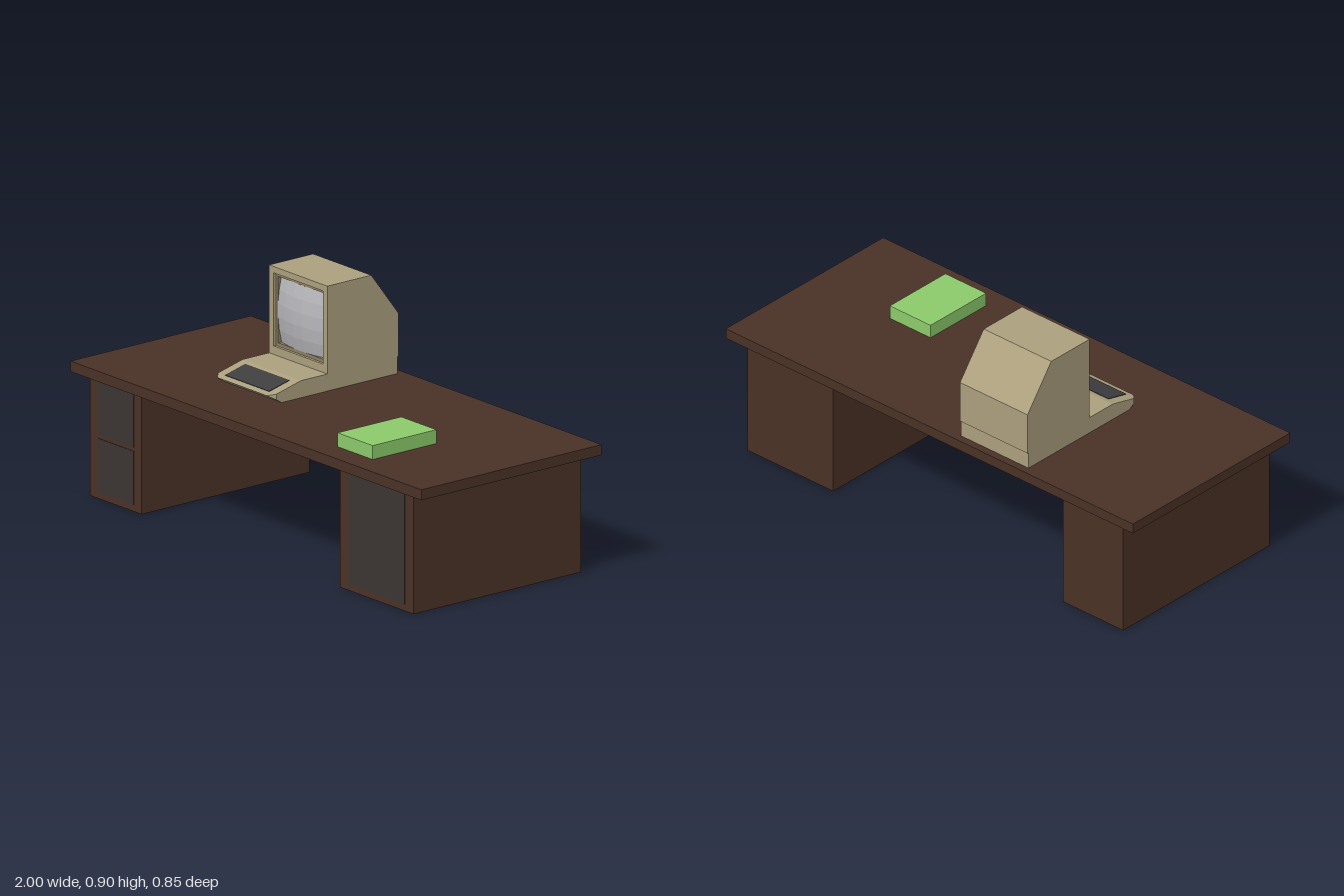
import * as THREE from 'three';

const mat = (color) => new THREE.MeshStandardMaterial({ color, flatShading: true });

export function createModel() {
  const root = new THREE.Group();
  const wood = mat(0x4a3226), panel = mat(0x3c3632), beige = mat(0xaca07e);
  const darkBeige = mat(0x8c8163), keys = mat(0x3e3e40), glass = mat(0xb8b8bc), green = mat(0x8ccb6c);

  const add = (name, geo, material, parent = root) => {
    const m = new THREE.Mesh(geo, material);
    m.name = name;
    parent.add(m);
    return m;
  };
  // Box given by its limits on each axis
  const box = (name, x0, x1, y0, y1, z0, z1, material, parent) =>
    add(name, new THREE.BoxGeometry(x1 - x0, y1 - y0, z1 - z0)
      .translate((x0 + x1) / 2, (y0 + y1) / 2, (z0 + z1) / 2), material, parent);
  // Side profile of [z, y] points extruded along x
  const profile = (points, x0, x1) => {
    const shape = new THREE.Shape(points.map(([z, y]) => new THREE.Vector2(-z, y)));
    return new THREE.ExtrudeGeometry(shape, { depth: x1 - x0, bevelEnabled: false })
      .rotateY(Math.PI / 2).translate(x0, 0, 0);
  };
  const rect = (Type, x0, x1, y0, y1) => new Type([[x0, y0], [x1, y0], [x1, y1], [x0, y1]]
    .map(([x, y]) => new THREE.Vector2(x, y)));
  // Upright rectangular frame: outer and inner limits, front z and depth
  const frame = (outer, inner, z, depth) => {
    const shape = rect(THREE.Shape, ...outer);
    shape.holes.push(rect(THREE.Path, ...inner));
    return new THREE.ExtrudeGeometry(shape, { depth, bevelEnabled: false }).translate(0, 0, z - depth);
  };

  // Desk
  const desk = new THREE.Group();
  desk.name = 'desk';
  root.add(desk);
  box('deskTop', -1, 1, 0.46, 0.5, -0.425, 0.425, wood, desk);
  box('rightPedestal', -0.925, -0.63, 0, 0.46, -0.395, 0.395, wood, desk);
  box('leftPedestal', 0.5, 0.92, 0, 0.46, -0.395, 0.395, wood, desk);
  box('upperDrawer', -0.88, -0.675, 0.245, 0.455, 0.38, 0.397, panel, desk);
  box('lowerDrawer', -0.88, -0.675, 0.025, 0.23, 0.38, 0.397, panel, desk);
  box('cupboardDoor', 0.55, 0.87, 0.025, 0.455, 0.38, 0.397, panel, desk);

  // Computer base with sloping front and undercut lip
  const computer = new THREE.Group();
  computer.name = 'computer';
  root.add(computer);
  const X0 = -0.46, X1 = -0.128, CX = (X0 + X1) / 2;
  add('computerBase', profile([[-0.395, 0.5], [-0.395, 0.565], [0.06, 0.565],
    [0.175, 0.537], [0.175, 0.515], [0.15, 0.5]], X0, X1), beige, computer);
  // Front lip: the tip is drawn inwards to cut the corners
  const lip = profile([[0.175, 0.537], [0.2, 0.53], [0.175, 0.515]], X0, X1);
  const p = lip.attributes.position;
  for (let i = 0; i < p.count; i++) {
    if (p.getZ(i) > 0.19) p.setX(i, p.getX(i) + (p.getX(i) < CX ? 0.025 : -0.025));
  }
  lip.computeVertexNormals();
  add('frontLip', lip, beige, computer);

  // Keyboard lying on the slope
  const keyboard = add('keyboard', new THREE.BoxGeometry(0.252, 0.006, 0.098), keys, computer);
  keyboard.position.set(CX, 0.5476, 0.128);
  keyboard.rotation.x = Math.atan(0.2435);

  // Monitor housing, bezel and stepped inner frame
  add('monitorHousing', profile([[-0.11, 0.565], [-0.4, 0.565], [-0.4, 0.73],
    [-0.272, 0.9], [-0.11, 0.9]], X0, X1), beige, computer);
  const hole = [CX - 0.141, CX + 0.141, 0.597, 0.876];
  add('bezel', frame([X0, X1, 0.565, 0.9], hole, -0.065, 0.045), beige, computer);
  add('innerFrame', frame(hole, [CX - 0.128, CX + 0.128, 0.61, 0.863], -0.076, 0.03), darkBeige, computer);

  // Faceted bulging screen
  const screen = new THREE.PlaneGeometry(0.256, 0.253, 5, 5);
  const s = screen.attributes.position;
  for (let i = 0; i < s.count; i++) {
    s.setZ(i, -1.1 * (s.getX(i) ** 2 + s.getY(i) ** 2));
  }
  screen.computeVertexNormals();
  add('screen', screen, glass, computer).position.set(CX, 0.7365, -0.057);

  // Book
  box('book', 0.408, 0.608, 0.5, 0.553, 0.03, 0.33, green);
  return root;
}
